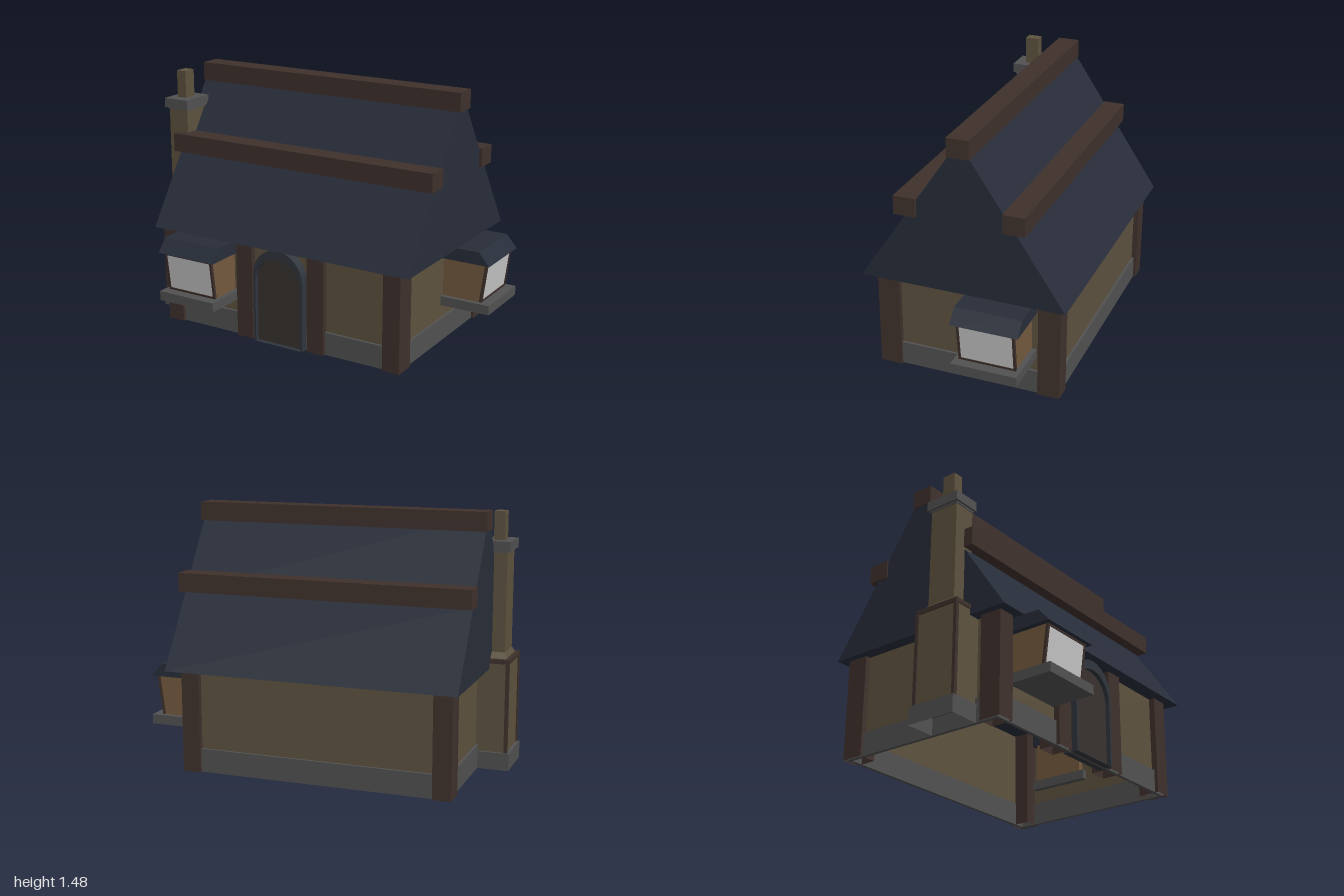
import * as THREE from 'three';

const paint = (color, side = THREE.FrontSide) => new THREE.MeshStandardMaterial({ color, side });
const MAT = {
  wall: paint(0x5d523f, THREE.DoubleSide), stone: paint(0x515151, THREE.DoubleSide),
  wood: paint(0x3f312c, THREE.DoubleSide), roof: paint(0x272d39), panel: paint(0x745a3e),
  door: paint(0x393230), arch: paint(0x30363d), glass: paint(0xcccccc),
};

function add(parent, name, geometry, material) {
  const mesh = new THREE.Mesh(geometry, material);
  mesh.name = name;
  parent.add(mesh);
  return mesh;
}

// Box given by its limits on each axis; tube drops the top and bottom faces
function box(parent, name, material, [x0, x1], [y0, y1], [z0, z1], tube = false) {
  const g = new THREE.BoxGeometry(x1 - x0, y1 - y0, z1 - z0);
  if (tube) {
    const i = Array.from(g.index.array);
    i.splice(12, 12);
    g.setIndex(i);
    g.clearGroups();
  }
  g.translate((x0 + x1) / 2, (y0 + y1) / 2, (z0 + z1) / 2);
  return add(parent, name, g, material);
}

// Prism with a [z, y] cross-section, running along x and centred on x = 0
function prism(parent, name, material, section, width) {
  const shape = new THREE.Shape(section.map(([z, y]) => new THREE.Vector2(z, y)));
  const g = new THREE.ExtrudeGeometry(shape, { depth: width, bevelEnabled: false });
  g.translate(0, 0, -width / 2).rotateY(-Math.PI / 2);
  return add(parent, name, g, material);
}

// Rectangle traced on a shape or path
function rect(path, x0, x1, y0, y1) {
  return path.moveTo(x0, y0).lineTo(x1, y0).lineTo(x1, y1).lineTo(x0, y1).lineTo(x0, y0);
}

// Round-topped outline: straight legs up to the spring line, then a half circle
function arch(path, radius, spring, floor = 0) {
  return path.moveTo(-radius, floor).lineTo(radius, floor).lineTo(radius, spring)
    .absarc(0, spring, radius, 0, Math.PI, false).lineTo(-radius, floor);
}

// Bay window facing local +z, reaching a little way through the wall
function bayWindow(name) {
  const bay = new THREE.Group();
  bay.name = name;
  const back = -0.06;
  box(bay, 'windowSill', MAT.stone, [-0.188, 0.188], [0.213, 0.268], [back, 0.275]);
  prism(bay, 'windowBody', MAT.panel, [[back, 0.268], [0.213, 0.268], [0.243, 0.5], [back, 0.5]], 0.32);
  prism(bay, 'windowRoof', MAT.roof, [[back, 0.5], [0.27, 0.5], [0.205, 0.575], [back, 0.575]], 0.382);
  // Leaning pane with its frame
  const pane = new THREE.Group();
  pane.name = 'windowPane';
  pane.position.set(0, 0.27, 0.213);
  pane.rotation.x = Math.atan2(0.03, 0.23);
  bay.add(pane);
  const h = 0.231;
  add(pane, 'glass', new THREE.PlaneGeometry(0.31, h).translate(0, h / 2, 0.002), MAT.glass);
  for (const s of [-1, 1]) {
    const x = s * 0.157;
    box(pane, 'frameSide', MAT.wood, [x - 0.007, x + 0.007], [0, h], [-0.01, 0.006]);
    const y = s < 0 ? 0.006 : h - 0.006;
    box(pane, 'frameRail', MAT.wood, [-0.15, 0.15], [y - 0.006, y + 0.006], [-0.01, 0.006]);
  }
  return bay;
}

function chimney() {
  const c = new THREE.Group();
  c.name = 'chimney';
  // Hollow base with a ledge around the stack
  box(c, 'chimneyBase', MAT.stone, [-1, -0.81], [0, 0.1], [0, 0.29], true);
  box(c, 'baseLedge', MAT.stone, [-1, -0.81], [0.095, 0.1], [0, 0.29]);
  box(c, 'lowerStack', MAT.wall, [-0.98, -0.79], [0.1, 0.635], [0.015, 0.28]);
  // Timber trim around the lower stack
  for (const z of [0.008, 0.267]) box(c, 'cornerTrim', MAT.wood, [-0.988, -0.968], [0.1, 0.635], [z, z + 0.02]);
  box(c, 'topTrim', MAT.wood, [-0.988, -0.79], [0.615, 0.64], [0.008, 0.287]);
  // Shoulder narrowing to the upper stack
  const g = new THREE.BoxGeometry(0.16, 0.035, 0.235);
  const p = g.attributes.position;
  for (let i = 0; i < p.count; i++) {
    if (p.getY(i) > 0) p.setXYZ(i, Math.sign(p.getX(i)) * 0.065, p.getY(i), Math.sign(p.getZ(i)) * 0.09);
  }
  g.computeVertexNormals();
  add(c, 'shoulder', g.translate(-0.885, 0.655, 0.147), MAT.wall);
  box(c, 'upperStack', MAT.wall, [-0.95, -0.82], [0.67, 1.24], [0.06, 0.235]);
  box(c, 'capLip', MAT.stone, [-0.955, -0.815], [1.235, 1.25], [0.055, 0.24]);
  box(c, 'chimneyCap', MAT.stone, [-0.97, -0.808], [1.245, 1.3], [0.042, 0.253]);
  box(c, 'flue', MAT.wall, [-0.922, -0.86], [1.3, 1.46], [0.11, 0.19]);
  return c;
}

export function createModel() {
  const house = new THREE.Group();
  house.name = 'cottage';

  // Hollow walls standing on a ring of footing stone, with no floor
  box(house, 'walls', MAT.wall, [-0.805, 0.7], [0.1, 0.585], [-0.59, 0.415], true);
  const ring = rect(new THREE.Shape(), -0.82, 0.715, -0.43, 0.605);
  ring.holes.push(rect(new THREE.Path(), -0.8, 0.695, -0.41, 0.585));
  const footing = new THREE.ExtrudeGeometry(ring, { depth: 0.135, bevelEnabled: false });
  add(house, 'footing', footing.rotateX(-Math.PI / 2), MAT.stone);

  // Corner posts and the two posts beside the door, open at the ends
  for (const x of [-0.835, 0.625]) {
    for (const z of [-0.62, 0.323]) box(house, 'cornerPost', MAT.wood, [x, x + 0.105], [0, 0.585], [z, z + 0.127], true);
  }
  for (const x of [-0.333, 0.142]) box(house, 'doorPost', MAT.wood, [x, x + 0.107], [0, 0.585], [0.323, 0.45], true);

  // Arched door, set through the wall
  const door = new THREE.Group();
  door.name = 'door';
  door.position.set(-0.04, 0, 0.38);
  house.add(door);
  const surround = arch(new THREE.Shape(), 0.164, 0.41);
  surround.holes.push(arch(new THREE.Path(), 0.15, 0.37, 0.002));
  add(door, 'doorSurround', new THREE.ExtrudeGeometry(surround, { depth: 0.09, bevelEnabled: false, curveSegments: 8 }), MAT.arch);
  const leaf = new THREE.ShapeGeometry(arch(new THREE.Shape(), 0.152, 0.37), 8);
  add(door, 'doorLeaf', leaf.clone().translate(0, 0, 0.065), MAT.door);
  add(door, 'doorBack', leaf.clone().rotateY(Math.PI).translate(0, 0, 0.01), MAT.glass);

  // Solid steep roof
  const roof = prism(house, 'roof', MAT.roof, [[-0.671, 0.583], [0.505, 0.583], [0.225, 1.0], [-0.083, 1.46], [-0.391, 1.0]], 1.682);
  roof.position.x = -0.034;

  // Ridge beam and side beams
  for (const [y, z] of [[1.372, -0.146], [0.997, 0.164], [0.997, -0.45]]) {
    box(house, 'roofBeam', MAT.wood, [-0.882, 0.824], [y, y + 0.107], [z, z + 0.126]);
  }

  // Bay windows
  const front = bayWindow('frontBayWindow');
  front.position.set(-0.53, 0, 0.4);
  const side = bayWindow('sideBayWindow');
  side.position.set(0.725, 0, -0.288);
  side.rotation.y = Math.PI / 2;
  house.add(front, side, chimney());
  return house;
}
